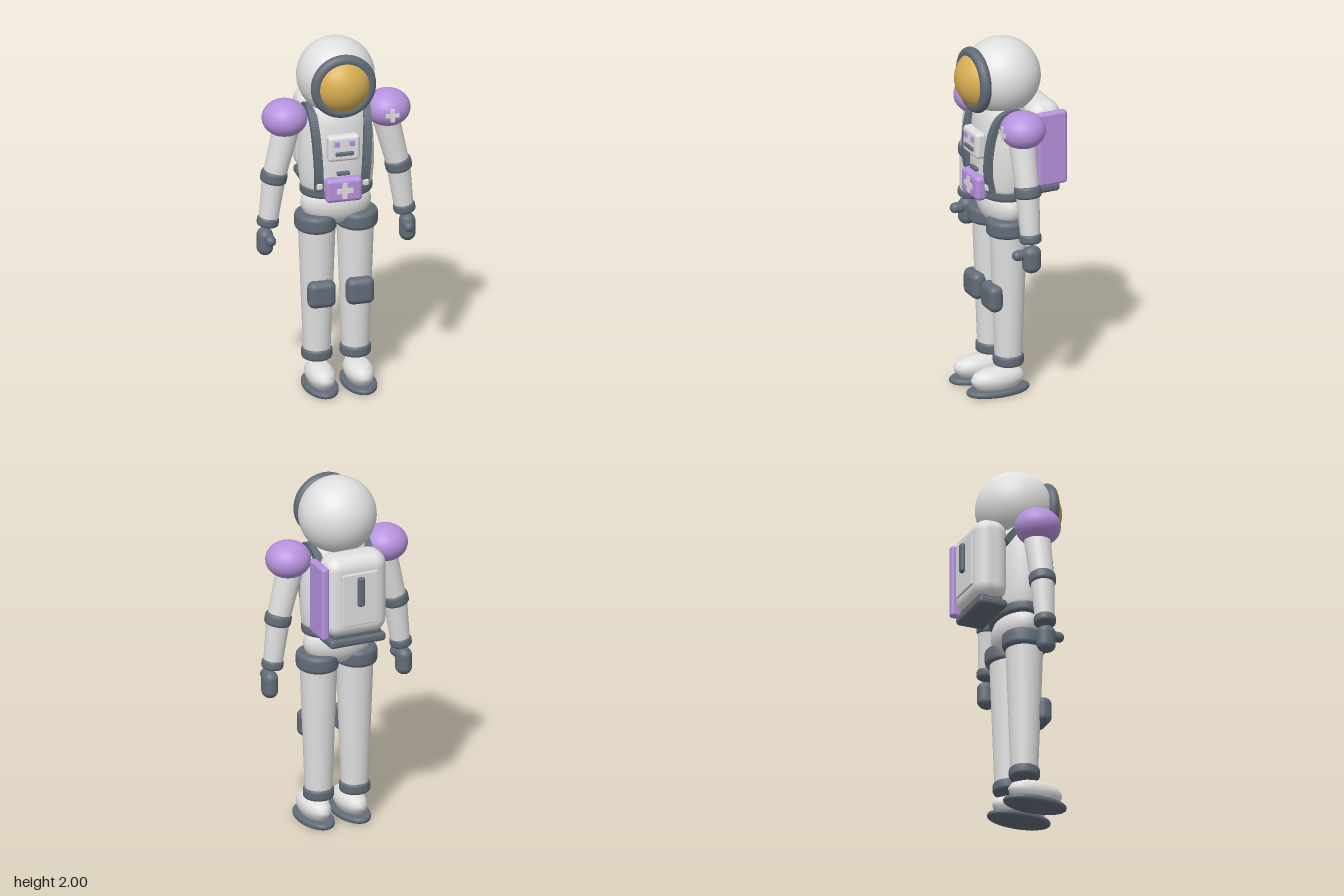
import * as THREE from 'three';
import { RoundedBoxGeometry } from 'three/addons/geometries/RoundedBoxGeometry.js';

const Z = 0.036; // depth of the body axis

export function createModel() {
  const model = new THREE.Group();
  model.name = 'astronaut';
  const colour = (name, hex) => {
    const m = new THREE.MeshStandardMaterial({ color: hex });
    m.name = name;
    return m;
  };
  const white = colour('suitWhite', 0xe0e0e0);
  const dark = colour('slateGrey', 0x626c78);
  const purple = colour('lilac', 0xb692dd);
  const gold = colour('visorGold', 0xd8ae52);

  const add = (name, geometry, material, x = 0, y = 0, z = 0) => {
    const mesh = new THREE.Mesh(geometry, material);
    mesh.name = name;
    mesh.position.set(x, y, z);
    model.add(mesh);
    return mesh;
  };
  const box = (name, mat, w, h, d, r, x, y, z) =>
    add(name, new RoundedBoxGeometry(w, h, d, 4, r), mat, x, y, z);
  const ball = (name, mat, rx, ry, rz, x, y, z) =>
    add(name, new THREE.SphereGeometry(1, 40, 28).scale(rx, ry, rz), mat, x, y, z);
  // Lathe through a few [radius, height] points
  const lathe = (pts) => new THREE.LatheGeometry(pts.map((p) => new THREE.Vector2(...p)), 40);
  // Rounded band centred on its own origin
  const band = (r, h, b = 0.018) => {
    const pts = [[0, -h / 2]];
    for (const s of [-1, 1]) {
      for (let i = 0; i <= 4; i++) {
        const a = (s < 0 ? i - 4 : i) * Math.PI / 8;
        pts.push([r - b + b * Math.cos(a), s * (h / 2 - b) + b * Math.sin(a)]);
      }
    }
    pts.push([0, h / 2]);
    return lathe(pts);
  };
  // Tapered limb between two points
  const limb = (name, a, b, ra, rb) => {
    const from = new THREE.Vector3(...a), to = new THREE.Vector3(...b);
    const dir = from.clone().sub(to);
    const mesh = add(name, new THREE.CylinderGeometry(ra, rb, dir.length(), 32), white);
    mesh.position.copy(from).add(to).multiplyScalar(0.5);
    mesh.quaternion.setFromUnitVectors(new THREE.Vector3(0, 1, 0), dir.normalize());
    return mesh;
  };
  // Plus-shaped badge
  const cross = (name, size, width, depth, x, y, z) => {
    const s = size, w = width;
    const shape = new THREE.Shape([[w, s], [-w, s], [-w, w], [-s, w], [-s, -w], [-w, -w],
      [-w, -s], [w, -s], [w, -w], [s, -w], [s, w], [w, w]].map((p) => new THREE.Vector2(...p)));
    add(name, new THREE.ExtrudeGeometry(shape, { depth, bevelEnabled: false }), white, x, y, z);
  };

  // Helmet, visor and its rim
  ball('helmet', white, 0.212, 0.212, 0.212, 0, 1.788, 0.025);
  ball('visor', gold, 0.165, 0.165, 0.16, 0, 1.785, 0.13);
  add('visorRim', new THREE.TorusGeometry(0.15, 0.031, 16, 56), dark, 0, 1.785, 0.19);

  // Torso, belt and hips
  add('torso', lathe([[0, 1.12], [0.185, 1.12], [0.2, 1.19], [0.208, 1.27], [0.208, 1.36], [0.203, 1.45],
    [0.192, 1.54], [0.174, 1.61], [0.13, 1.66], [0, 1.68]]).scale(1, 1, 0.7), white, 0, 0, Z);
  add('belt', band(0.2, 0.068, 0.022).scale(1, 1, 0.68), dark, 0, 1.15, Z);
  ball('hips', white, 0.194, 0.13, 0.115, 0, 1.06, 0.03);

  // Chest control box and belt pouch
  box('controlBox', white, 0.178, 0.146, 0.06, 0.02, 0, 1.428, 0.185);
  for (const s of [-1, 1]) box('controlButton', purple, 0.03, 0.03, 0.016, 0.004, s * 0.042, 1.46, 0.216);
  box('controlSlot', dark, 0.1, 0.022, 0.02, 0.006, 0, 1.402, 0.216);
  box('chestBar', dark, 0.07, 0.022, 0.03, 0.007, 0, 1.276, 0.183);
  box('pouch', purple, 0.204, 0.138, 0.065, 0.025, 0, 1.186, 0.188);
  cross('pouchCross', 0.045, 0.014, 0.008, 0, 1.187, 0.218);

  // Shoulder strap outline: an arch over the shoulder, drawn as (z, y)
  const curve = new THREE.CatmullRomCurve3([[0.15, 1.17], [0.172, 1.28], [0.17, 1.4], [0.146, 1.53],
    [0.1, 1.605], [0.035, 1.63], [-0.035, 1.6], [-0.095, 1.52]].map((p) => new THREE.Vector3(p[0], p[1], 0)));
  const outer = [], inner = [];
  for (let i = 0; i <= 28; i++) {
    const p = curve.getPoint(i / 28), t = curve.getTangent(i / 28);
    outer.push(new THREE.Vector2(p.x + t.y * 0.014, p.y - t.x * 0.014));
    inner.unshift(new THREE.Vector2(p.x - t.y * 0.022, p.y + t.x * 0.022));
  }
  const strapShape = new THREE.Shape([...outer, ...inner]);

  for (const s of [-1, 1]) {
    const side = s > 0 ? 'left' : 'right';
    // Straps lean outward towards the top
    const strap = new THREE.ExtrudeGeometry(strapShape, { depth: 0.044, bevelEnabled: false })
      .translate(0, 0, -0.022).rotateY(-Math.PI / 2);
    const pos = strap.attributes.position;
    for (let i = 0; i < pos.count; i++) pos.setX(i, pos.getX(i) + s * (0.125 + (pos.getY(i) - 1.18) * 0.06));
    strap.computeVertexNormals();
    add(side + 'Strap', strap, dark);
    box(side + 'StrapBuckle', white, 0.034, 0.036, 0.04, 0.008, s * 0.128, 1.205, 0.162);

    // Arm
    ball(side + 'ShoulderPad', purple, 0.124, 0.102, 0.124, s * 0.286, 1.572, Z);
    limb(side + 'UpperArm', [s * 0.272, 1.53, Z], [s * 0.345, 1.235, Z], 0.074, 0.063);
    limb(side + 'Forearm', [s * 0.345, 1.235, Z], [s * 0.378, 0.975, Z], 0.065, 0.052);
    add(side + 'ElbowBand', band(0.073, 0.068), dark, s * 0.346, 1.236, Z).rotation.z = s * 0.2;
    add(side + 'WristBand', band(0.06, 0.056), dark, s * 0.379, 0.98, Z).rotation.z = s * 0.13;
    add(side + 'Hand', new THREE.CapsuleGeometry(0.044, 0.068, 10, 28).scale(1, 1, 1.2), dark, s * 0.396, 0.863, Z);
    const thumb = add(side + 'Thumb', new THREE.CapsuleGeometry(0.029, 0.035, 8, 20), dark, s * 0.384, 0.892, 0.098);
    thumb.rotation.x = Math.PI / 2;

    // Leg
    const x = s * 0.107;
    limb(side + 'Leg', [x, 0.99, Z], [x, 0.165, Z], 0.104, 0.073);
    add(side + 'ThighBand', band(0.114, 0.098, 0.025).scale(1, 1, 1.1), dark, s * 0.114, 0.96, Z);
    box(side + 'KneePad', dark, 0.154, 0.152, 0.084, 0.038, x, 0.561, 0.133);
    add(side + 'AnkleBand', band(0.084, 0.064), dark, x, 0.188, Z);

    // Boot on an oval sole
    add(side + 'Boot', lathe([[0, 0.025], [0.058, 0.03], [0.074, 0.065], [0.077, 0.09], [0.068, 0.118],
      [0.045, 0.138], [0, 0.142]]).scale(1, 1, 2.02), white, x, 0, 0.1);
    add(side + 'Sole', band(0.093, 0.035, 0.014).scale(1, 1, 1.96), dark, x, 0.0175, 0.098);
  }
  cross('shoulderCross', 0.038, 0.012, 0.008, 0.283, 1.568, 0.152);

  // Life support pack with side panel, hatch, handle and base
  box('backpack', white, 0.356, 0.465, 0.185, 0.075, 0, 1.41, -0.17);
  box('packHatch', white, 0.208, 0.3, 0.016, 0.006, 0, 1.405, -0.266);
  box('packHandle', dark, 0.04, 0.17, 0.032, 0.014, 0, 1.45, -0.28);
  box('packSidePanel', purple, 0.045, 0.42, 0.176, 0.018, 0.199, 1.4, -0.177);
  box('packBase', dark, 0.33, 0.05, 0.165, 0.02, 0, 1.15, -0.168);
  box('packBaseNeck', dark, 0.28, 0.04, 0.13, 0.015, 0, 1.185, -0.17);

  return model;
}
